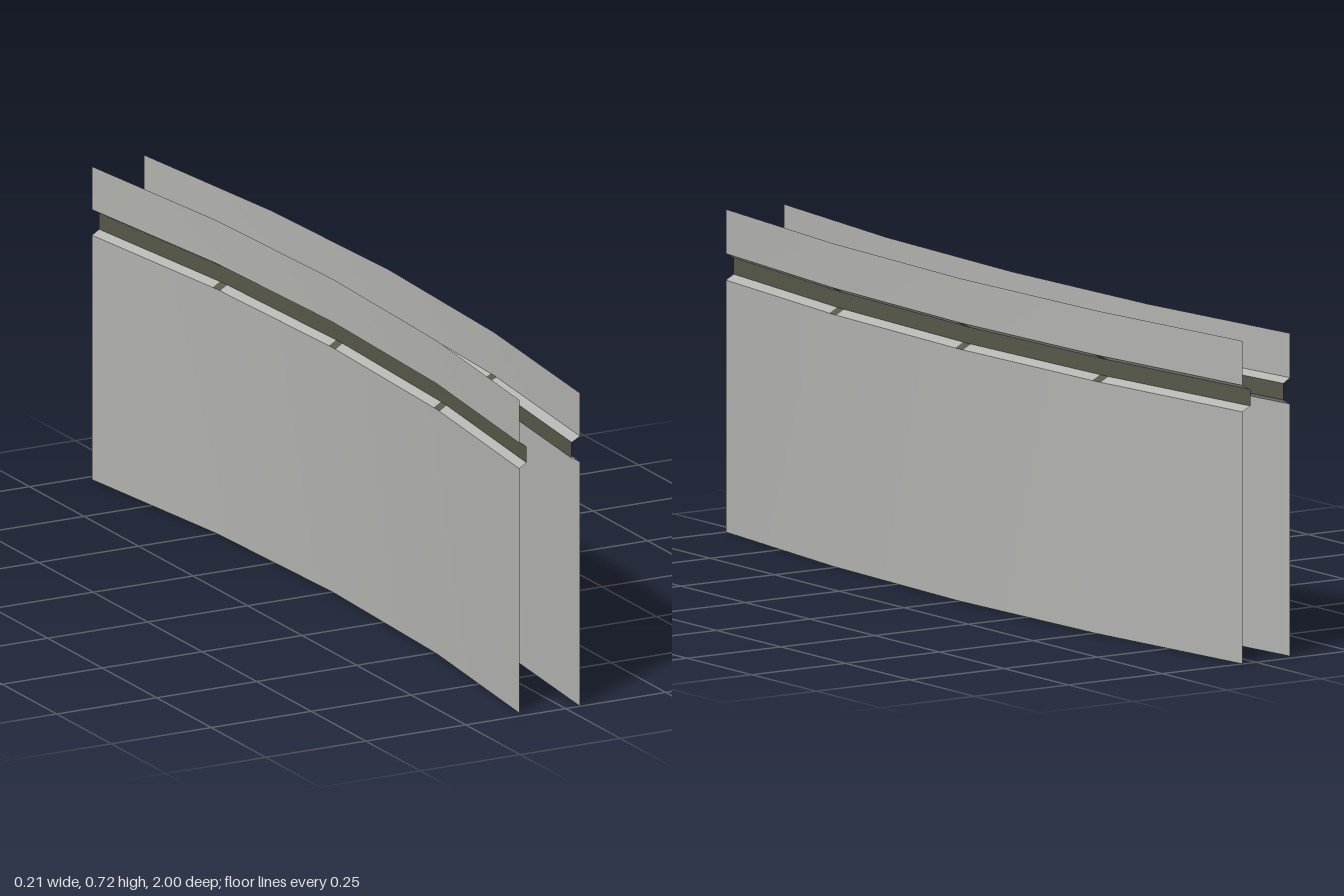
import * as THREE from 'three';

const sheetGrey = new THREE.MeshStandardMaterial({ color: 0xb4b4b1, side: THREE.DoubleSide });
sheetGrey.name = 'sheetGrey';
const grooveDark = new THREE.MeshStandardMaterial({ color: 0x59584a, side: THREE.DoubleSide });
grooveDark.name = 'grooveDark';

// Strip between two levels [y, xOffset], following a bent path of [x, z] points
function strip(name, path, low, high, material) {
  const positions = [];
  const index = [];
  path.forEach(([x, z], i) => {
    positions.push(x + low[1], low[0], z, x + high[1], high[0], z);
    if (i > 0) {
      const a = 2 * i - 2;
      index.push(a, a + 1, a + 2, a + 1, a + 3, a + 2);
    }
  });
  const geometry = new THREE.BufferGeometry();
  geometry.setAttribute('position', new THREE.Float32BufferAttribute(positions, 3));
  geometry.setIndex(index);
  geometry.computeVertexNormals();
  const mesh = new THREE.Mesh(geometry, material);
  mesh.name = name;
  return mesh;
}

// x on the bent path at a given z
function pathX(path, z) {
  const i = Math.max(1, path.findIndex((p) => p[1] >= z));
  const [[x0, z0], [x1, z1]] = [path[i - 1], path[i]];
  return x0 + ((x1 - x0) * (z - z0)) / (z1 - z0);
}

// One curved panel with a pressed groove near the top
function panel(name, path, depth) {
  const group = new THREE.Group();
  group.name = name;
  const levels = [[0, 0], [0.562, 0], [0.573, depth], [0.61, depth], [0.621, 0], [0.72, 0]];
  group.add(strip('lowerSheet', path, levels[0], levels[1], sheetGrey));
  group.add(strip('grooveFloor', path, levels[2], levels[3], grooveDark));
  group.add(strip('upperSheet', path, levels[4], levels[5], sheetGrey));

  // Sloped groove sides, with a small dark mark at each bend
  const half = 0.015;
  const at = (z) => [pathX(path, z), z];
  for (const [side, low, high] of [['lower', levels[1], levels[2]], ['upper', levels[3], levels[4]]]) {
    for (let i = 1; i < path.length; i++) {
      const start = path[i - 1][1] + (i > 1 ? half : 0);
      const end = path[i][1] - (i < path.length - 1 ? half : 0);
      group.add(strip(side + 'GrooveSlope', [at(start), at(end)], low, high, sheetGrey));
      if (i < path.length - 1) {
        const z = path[i][1];
        group.add(strip(side + 'BendMark', [at(z - half), path[i], at(z + half)], low, high, grooveDark));
      }
    }
  }
  return group;
}

export function createModel() {
  const model = new THREE.Group();
  model.name = 'curvedBarrier';
  model.add(panel('outerPanel', [[0.036, -1], [0.085, -0.505], [0.103, 0], [0.085, 0.515], [0.036, 1]], -0.021));
  model.add(panel('innerPanel', [[-0.105, -0.98], [-0.055, -0.5], [-0.038, 0], [-0.055, 0.51], [-0.105, 0.98]], 0.018));
  return model;
}
